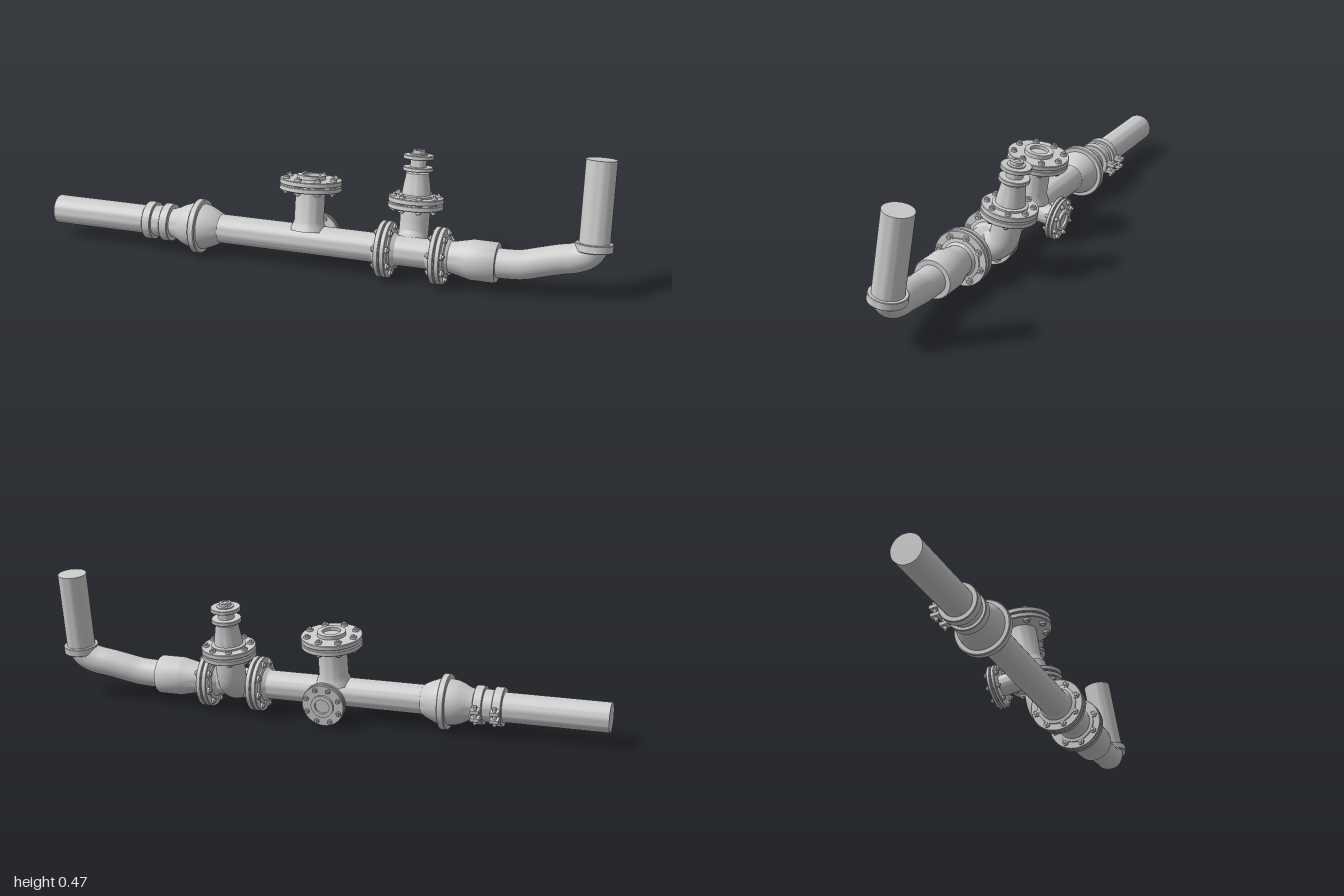
import * as THREE from 'three';
import { toCreasedNormals } from 'three/addons/utils/BufferGeometryUtils.js';

const material = new THREE.MeshStandardMaterial({ color: 0xcccccc });
const R = 0.051; // common pipe radius

function add(parent, name, geometry) {
  const mesh = new THREE.Mesh(geometry, material);
  mesh.name = name;
  parent.add(mesh);
  return mesh;
}

// Turned part from [radius, height] points, listed upwards
function turned(parent, name, profile, segments = 40) {
  const points = profile.map(([r, h]) => new THREE.Vector2(r, h));
  return add(parent, name, toCreasedNormals(new THREE.LatheGeometry(points, segments), 0.6));
}

const disc = (r, a, b, c = 0.002) => [[0, a], [r - c, a], [r, a + c], [r, b - c], [r - c, b], [0, b]];

function bent(parent, name, points, radius) {
  const curve = new THREE.CatmullRomCurve3(points.map(p => new THREE.Vector3(...p)));
  return add(parent, name, new THREE.TubeGeometry(curve, 48, radius, 32));
}

// Empty group whose local y runs along a chosen axis
function axisGroup(parent, name, rx, rz) {
  const g = new THREE.Group();
  g.name = name;
  g.rotation.set(rx, 0, rz);
  parent.add(g);
  return g;
}

// Pair of bolted discs with a ring of hex nuts and stud ends on both faces
function flangePair(parent, name, r, a, b, count, nut, turn = 0) {
  const g = new THREE.Group();
  g.name = name;
  parent.add(g);
  const mid = (a + b) / 2, gap = 0.002;
  turned(g, 'lowerDisc', disc(r, a, mid - gap));
  turned(g, 'gasket', disc(r * 0.76, mid - gap, mid + gap, 0));
  turned(g, 'upperDisc', disc(r, mid + gap, b));
  for (let i = 0; i < count; i++) {
    const angle = turn + (i / count) * Math.PI * 2;
    const x = Math.cos(angle) * r * 0.81, z = Math.sin(angle) * r * 0.81;
    const h = b - a;
    add(g, 'nut', new THREE.CylinderGeometry(nut, nut, h + 0.016, 6).toNonIndexed())
      .position.set(x, mid, z);
    add(g, 'stud', new THREE.CylinderGeometry(nut * 0.5, nut * 0.5, h + 0.026, 12))
      .position.set(x, mid, z);
  }
  return g;
}

// Raised face with a recessed bore
const openFace = (r, bore, a, b, floor) =>
  [[0, a], [r, a], [r, b], [bore, b], [bore, floor], [0, floor]];

export function createModel() {
  const model = new THREE.Group();
  model.name = 'pipeAssembly';

  // Everything leans back slightly around the main pipe axis
  const body = new THREE.Group();
  body.name = 'pipework';
  body.position.set(0, 0.101, 0.051);
  body.rotation.x = -0.168;
  model.add(body);

  // Main line, running from right to left
  const line = axisGroup(body, 'mainLine', 0, -Math.PI / 2);
  turned(line, 'inletPipe', disc(R, -1, -0.5, 0));
  turned(line, 'mainPipe', disc(R, -0.45, 0.46, 0));
  turned(line, 'clampSleeve', disc(0.056, -0.625, -0.555));

  // Two clamps with bolted ears at the back
  for (const y of [-0.628, -0.562]) {
    turned(line, 'clampBand', disc(0.067, y - 0.016, y + 0.016));
    for (const s of [-1, 1]) {
      add(line, 'clampEar', new THREE.BoxGeometry(0.012, 0.03, 0.035))
        .position.set(s * 0.014, y, -0.077);
    }
    const bolt = add(line, 'clampBolt', new THREE.CylinderGeometry(0.007, 0.007, 0.066, 6).toNonIndexed());
    bolt.rotation.z = Math.PI / 2;
    bolt.position.set(0, y, -0.081);
  }

  // Bulging coupling with a rim
  turned(line, 'bellCoupling', [
    [R, -0.545], [0.054, -0.535], [0.059, -0.52], [0.07, -0.5], [0.077, -0.48], [0.08, -0.455],
    [0.093, -0.455], [0.096, -0.452], [0.096, -0.433], [0.093, -0.43],
    [0.08, -0.43], [0.077, -0.415], [0.068, -0.392], [0.058, -0.372], [R, -0.362],
  ]);

  // Flanges either side of the valve body, with stepped hubs
  flangePair(line, 'valveFlangeRight', 0.097, 0.222, 0.26, 8, 0.012, 0.15);
  flangePair(line, 'valveFlangeLeft', 0.097, 0.411, 0.449, 8, 0.012, 0.15);
  for (const [y, s] of [[0.241, 1], [0.43, 1]]) {
    turned(line, 'flangeHub', [
      [R, y - 0.04], [0.06, y - 0.026], [0.072, y - 0.024], [0.072, y + 0.024],
      [0.06, y + 0.026], [R, y + 0.04 * s],
    ]);
  }

  // Reducer sleeve after the valve
  turned(line, 'reducerSleeve', [
    [0, 0.44], [R, 0.44], [0.054, 0.475], [0.066, 0.528], [0.069, 0.54],
    [0.069, 0.622], [0.066, 0.627], [0, 0.627],
  ]);

  // Upright tee branch
  const tee = axisGroup(body, 'teeBranch', 0, 0);
  tee.position.x = -0.04;
  turned(tee, 'teePipe', [[0.064, 0.035], [0.056, 0.053], [R, 0.066], [R, 0.19]]);
  flangePair(tee, 'teeFlange', 0.107, 0.174, 0.212, 8, 0.012, 0.2);
  turned(tee, 'teeFace', openFace(0.05, 0.032, 0.2, 0.226, 0.214));

  // Small branch pointing backwards
  const drain = axisGroup(body, 'backBranch', -Math.PI / 2, 0);
  drain.position.x = -0.04;
  turned(drain, 'backBranchPipe', disc(0.036, 0, 0.11, 0));
  flangePair(drain, 'backBranchFlange', 0.076, 0.1, 0.128, 8, 0.009, 0.39);
  turned(drain, 'backBranchFace', openFace(0.04, 0.026, 0.12, 0.137, 0.129));

  // Valve outlet: turns back, then up
  const vx = 0.312, off = 0.083;
  bent(body, 'valveElbow', [
    [vx, 0, 0], [vx, 0.003, -0.025], [vx, 0.018, -0.056], [vx, 0.045, -0.077],
    [vx, 0.08, -off], [vx, 0.115, -off], [vx, 0.15, -off],
  ], R);
  const valve = axisGroup(body, 'valveStack', 0, 0);
  valve.position.set(vx, 0, -off);
  flangePair(valve, 'bonnetFlange', 0.095, 0.137, 0.176, 8, 0.011, 0.39);
  turned(valve, 'bonnet', [
    [0.06, 0.17], [0.06, 0.182], [0.05, 0.185], [0.047, 0.21], [0.04, 0.252],
    [0.04, 0.258], [0.03, 0.262], [0.03, 0.272], [0, 0.272],
  ]);
  turned(valve, 'lowerCollar', disc(0.052, 0.265, 0.279));
  turned(valve, 'neck', disc(0.028, 0.27, 0.31, 0));
  turned(valve, 'upperCollar', disc(0.052, 0.306, 0.32));
  turned(valve, 'stemCap', [
    [0.03, 0.318], [0.03, 0.324], [0.021, 0.325], [0.021, 0.336], [0.012, 0.337], [0.012, 0.333], [0, 0.333],
  ], 24);

  // Outlet bend rising into the standpipe
  const ox = 0.934, oz = -0.022;
  bent(body, 'outletBend', [
    [0.61, 0, 0], [0.66, 0, 0], [0.71, 0.004, -0.002], [0.77, 0.019, -0.009], [0.83, 0.034, -0.016],
    [0.875, 0.043, -0.02], [0.912, 0.06, oz], [0.93, 0.085, oz], [ox, 0.115, oz],
  ], 0.05);
  const riser = axisGroup(body, 'standpipe', 0, 0);
  riser.position.set(ox, 0, oz);
  turned(riser, 'standpipeCollar', disc(0.0625, 0.073, 0.1));
  turned(riser, 'standpipeTube', disc(R, 0.085, 0.374, 0));

  return model;
}
